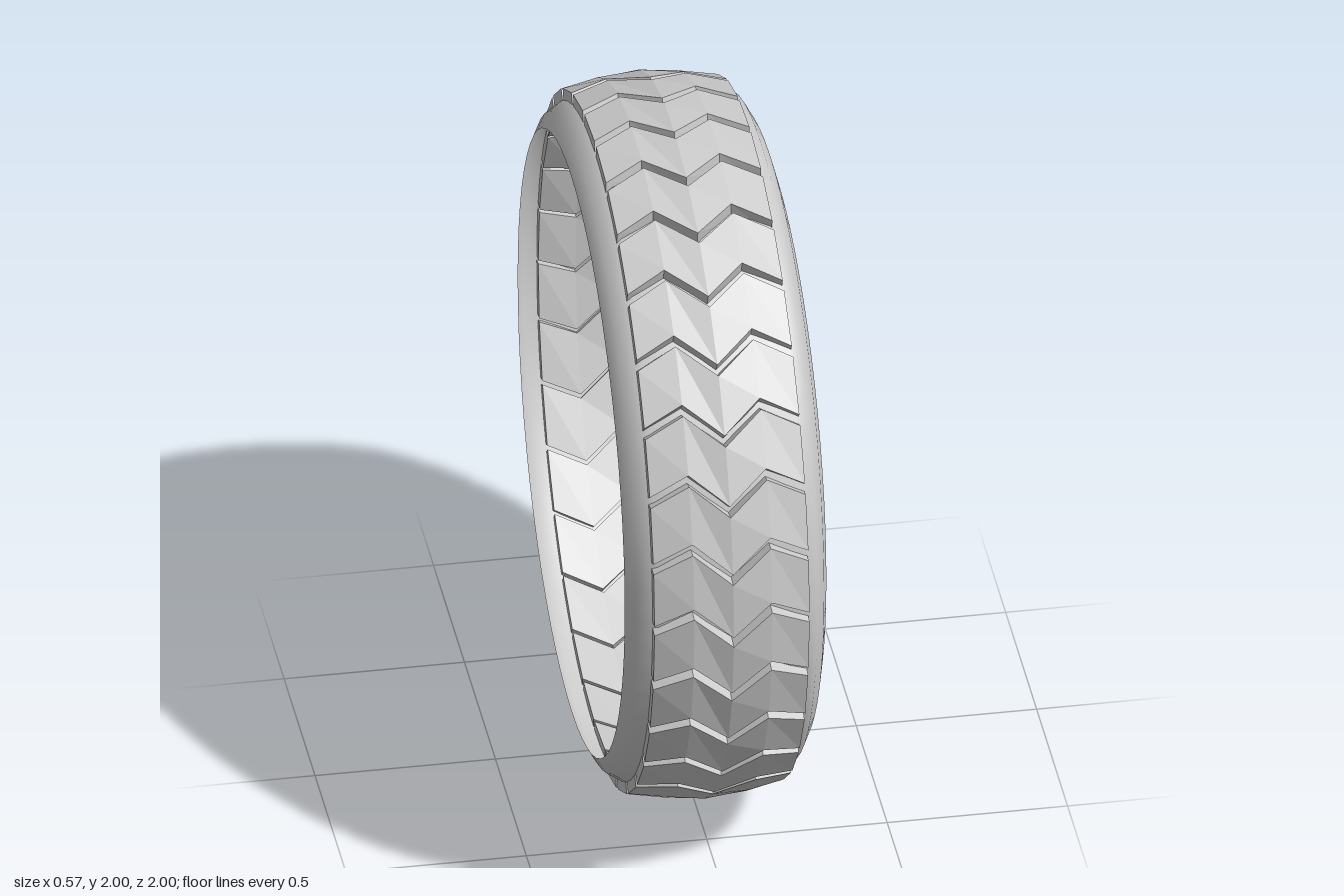
import * as THREE from 'three';

const grey = new THREE.MeshStandardMaterial({ color: 0xcccccc, side: THREE.DoubleSide });
const flatGrey = new THREE.MeshStandardMaterial({ color: 0xcccccc, side: THREE.DoubleSide, flatShading: true });

// Surface of revolution around the x axle; points are [x, radius]
function revolve(name, points, segments = 32, material = grey) {
  const geo = new THREE.LatheGeometry(points.map(([x, r]) => new THREE.Vector2(r, x)), segments);
  geo.rotateZ(-Math.PI / 2);
  const mesh = new THREE.Mesh(geo, material);
  mesh.name = name;
  return mesh;
}

// Zigzag tread bar: stations across the width, each with a four-cornered section
function treadGeometry(pitch) {
  const stations = [ // x, angular shift, outer radius
    [-0.225, 0.01, 0.968], [-0.118, -0.045, 0.99], [-0.01, 0.05, 1], [0.098, -0.045, 0.99], [0.205, 0.01, 0.968],
  ];
  const sections = stations.map(([x, shift, r]) => {
    const point = (angle, radius) => [x, radius * Math.cos(angle + shift), radius * Math.sin(angle + shift)];
    const outer = pitch * 0.42, inner = pitch * 0.47;
    return [point(-outer, r), point(outer, r), point(inner, r - 0.058), point(-inner, r - 0.058)];
  });
  const positions = [];
  const quad = (a, b, c, d) => positions.push(...a, ...b, ...c, ...a, ...c, ...d);
  for (let j = 0; j < sections.length - 1; j++) {
    const s = sections[j], t = sections[j + 1];
    for (let k = 0; k < 4; k++) {
      const n = (k + 1) % 4;
      quad(s[k], s[n], t[n], t[k]);
    }
  }
  const [a, b, c, d] = sections[0];
  quad(a, d, c, b);
  quad(...sections[sections.length - 1]);
  const geo = new THREE.BufferGeometry();
  geo.setAttribute('position', new THREE.Float32BufferAttribute(positions, 3));
  geo.computeVertexNormals();
  return geo;
}

function createTyre() {
  const tyre = new THREE.Group();
  tyre.name = 'tyre';
  // Open-backed shell with a rounded outer sidewall
  tyre.add(revolve('tyreShell', [
    [-0.29, 0.865], [-0.265, 0.91], [-0.21, 0.945], [-0.11, 0.955], [0, 0.96], [0.11, 0.955], [0.2, 0.945],
    [0.235, 0.92], [0.262, 0.87], [0.28, 0.8], [0.285, 0.74], [0.28, 0.7], [0.27, 0.67],
  ], 64));
  const count = 32, pitch = (Math.PI * 2) / count;
  const geo = treadGeometry(pitch);
  for (let i = 0; i < count; i++) {
    const bar = new THREE.Mesh(geo, flatGrey);
    bar.name = 'treadBar';
    bar.rotation.x = (i + 0.5) * pitch;
    tyre.add(bar);
  }
  return tyre;
}

function createRim() {
  const rim = new THREE.Group();
  rim.name = 'rim';
  // Each section is separate so the corners stay crisp
  rim.add(revolve('rimWall', [[0.27, 0.67], [0.07, 0.6]]));
  rim.add(revolve('rimDisc', [[0.07, 0.6], [0.13, 0.272]]));
  const hub = [[0.13, 0.272], [0.09, 0.272], [0.09, 0.21], [0.185, 0.21], [0.185, 0.168], [0.1, 0.168], [0.1, 0]];
  for (let i = 0; i < hub.length - 1; i++) rim.add(revolve('hub', [hub[i], hub[i + 1]]));
  return rim;
}

function createNuts() {
  const nuts = new THREE.Group();
  nuts.name = 'wheelNuts';
  const count = 16;
  // Eight-sided nut with a chamfer and a sunken centre
  const profile = [[0.05, 0], [0.05, 0.055], [0.1, 0.065], [0.13, 0.065], [0.145, 0.054], [0.145, 0.043], [0.135, 0.04], [0.135, 0]];
  for (let i = 0; i < count; i++) {
    const nut = revolve('wheelNut', profile, 8, flatGrey);
    const angle = (i / count) * Math.PI * 2;
    nut.position.set(0, 0.435 * Math.cos(angle), 0.435 * Math.sin(angle));
    nut.rotation.x = angle;
    nuts.add(nut);
  }
  return nuts;
}

export function createModel() {
  const model = new THREE.Group();
  model.name = 'wheel';
  model.add(createTyre(), createRim(), createNuts());
  model.position.y = 1;
  return model;
}
